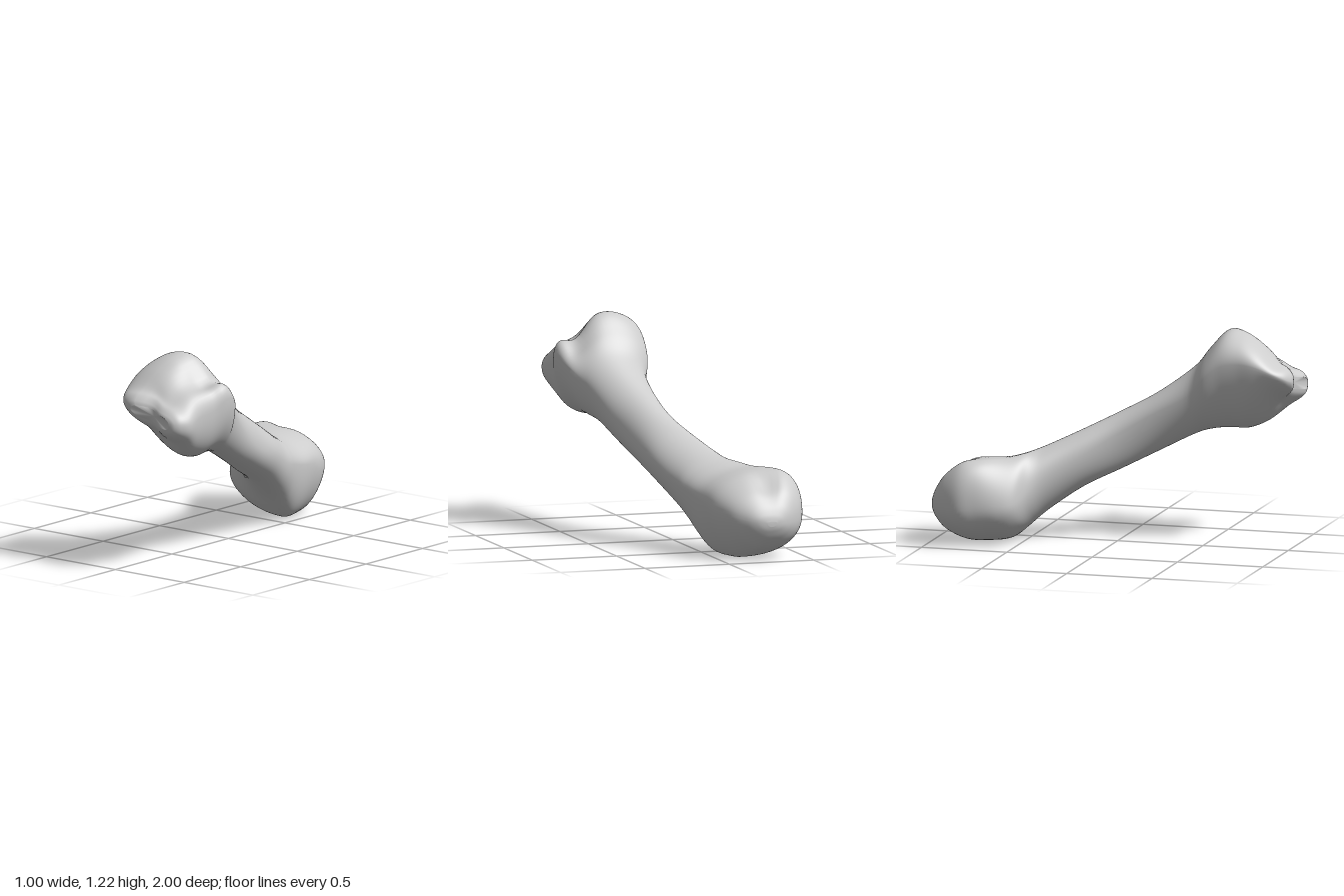
import * as THREE from 'three';

// Cross-sections along z: [z, xMin, xMax, yMin, yMax, yAtLeftmost, yAtRightmost, xAtTop, xAtBottom]
const headSections = [
  [-1.00, -0.28, -0.23, 0.20, 0.23, 0.22, 0.22, -0.26, -0.25],
  [-0.99, -0.33, -0.17, 0.17, 0.27, 0.22, 0.23, -0.26, -0.24],
  [-0.96, -0.39, -0.11, 0.12, 0.33, 0.23, 0.24, -0.28, -0.23],
  [-0.90, -0.455, -0.04, 0.06, 0.405, 0.24, 0.26, -0.32, -0.20],
  [-0.80, -0.497, 0.02, 0.01, 0.475, 0.25, 0.28, -0.35, -0.15],
  [-0.70, -0.485, 0.045, 0.00, 0.49, 0.25, 0.31, -0.34, -0.12],
  [-0.58, -0.45, 0.065, 0.01, 0.49, 0.23, 0.33, -0.26, -0.09],
  [-0.50, -0.40, 0.085, 0.07, 0.505, 0.24, 0.35, -0.20, -0.06],
  [-0.44, -0.30, 0.105, 0.125, 0.523, 0.30, 0.365, -0.14, -0.05],
];
const shaftSections = [
  [-0.36, -0.225, 0.13, 0.19, 0.555, 0.38, 0.39, -0.08, -0.03],
  [-0.20, -0.13, 0.19, 0.30, 0.63, 0.48, 0.47, 0.00, 0.03],
  [0.00, -0.03, 0.24, 0.40, 0.73, 0.61, 0.55, 0.09, 0.08],
  [0.20, 0.015, 0.30, 0.50, 0.84, 0.73, 0.67, 0.14, 0.16],
  [0.40, 0.02, 0.38, 0.60, 0.99, 0.84, 0.84, 0.20, 0.22],
];
const condyleSections = [
  [0.50, -0.02, 0.46, 0.63, 1.11, 0.95, 0.94, 0.20, 0.24],
  [0.60, -0.03, 0.497, 0.64, 1.21, 1.03, 0.99, 0.20, 0.25],
  [0.70, -0.03, 0.475, 0.64, 1.20, 1.05, 0.93, 0.18, 0.27],
  [0.80, -0.03, 0.46, 0.68, 1.14, 1.04, 0.91, 0.15, 0.31],
  [0.90, -0.01, 0.47, 0.76, 1.05, 1.00, 0.88, 0.13, 0.35],
  [0.96, 0.025, 0.45, 0.80, 1.02, 0.97, 0.88, 0.13, 0.36],
  [0.99, 0.07, 0.42, 0.83, 0.99, 0.95, 0.88, 0.13, 0.36],
  [1.00, 0.11, 0.385, 0.86, 0.965, 0.94, 0.89, 0.14, 0.36],
];

const SIDES = 72, STEPS = 6;
const bump = (v, centre, width) => Math.exp(-(((v - centre) / width) ** 2));
const rise = (v, from, to) => THREE.MathUtils.smoothstep(v, from, to);

// Cubic blend between neighbouring sections
function sectionAt(list, i, t) {
  const at = (k) => list[Math.min(Math.max(k, 0), list.length - 1)];
  const [a, b, c, d] = [at(i - 1), at(i), at(i + 1), at(i + 2)];
  return b.map((_, k) => {
    const m0 = (c[k] - a[k]) / 2, m1 = (d[k] - b[k]) / 2, e = c[k] - b[k];
    return b[k] + t * (m0 + t * (3 * e - 2 * m0 - m1 + t * (m0 + m1 - 2 * e)));
  });
}

// A ring made of four quarter ellipses that meet at the section's extremes
function ringPoint([z, x0, x1, y0, y1, yL, yR, xT, xB], angle) {
  const c = Math.cos(angle), s = Math.sin(angle);
  const right = c >= 0, upper = s >= 0;
  // the head is fuller but cut away at its lower right, its side lobe slopes off,
  // and the far end is hollowed at its lower left
  const head = 1 - rise(z, -0.75, -0.6);
  let power = 1 - 0.12 * head;
  if (right && !upper) power += 0.25 * head - 0.12 * rise(z, 0.55, 0.75);
  if (!right && upper) power += 0.18 * bump(z, -0.5, 0.1);
  if (!right && !upper) power += 0.1 * rise(z, 0.4, 0.6) + 0.22 * rise(z, 0.72, 0.9);
  const u = Math.abs(c) ** power, v = Math.abs(s) ** power;
  const cx = upper ? xT : xB, cy = right ? yR : yL;
  const x = cx + u * ((right ? x1 : x0) - cx);
  let y = cy + v * ((upper ? y1 : y0) - cy);
  if (upper) {
    // shallow groove on top of the rounded head
    y -= 0.03 * v * bump(x, -0.26, 0.06) * bump(z, -0.86, 0.09);
    // saddle between the top ridge and the side wing, fading towards the end
    const depth = 0.55 * rise(z, 0.38, 0.52) * (1 - 0.6 * rise(z, 0.62, 0.85));
    y -= depth * (y1 - cy) * v * bump(x, 0.39 - 0.25 * (z - 0.6), 0.09);
  }
  // notch between the two end lobes
  const notch = 0.045 * bump(x, 0.23, 0.07) * rise(z, 0.84, 1);
  return [x, y, z - notch];
}

function boneGeometry(list) {
  const rings = [];
  for (let i = 0; i < list.length - 1; i++) {
    for (let k = 0; k < STEPS; k++) rings.push(sectionAt(list, i, k / STEPS));
  }
  rings.push(list[list.length - 1]);

  const positions = [], index = [];
  for (const ring of rings) {
    for (let j = 0; j < SIDES; j++) positions.push(...ringPoint(ring, (j / SIDES) * Math.PI * 2));
  }
  for (let i = 0; i < rings.length - 1; i++) {
    for (let j = 0; j < SIDES; j++) {
      const a = i * SIDES + j, b = i * SIDES + ((j + 1) % SIDES);
      index.push(a, b, a + SIDES, b, b + SIDES, a + SIDES);
    }
  }
  // close both ends
  for (const end of [0, rings.length - 1]) {
    const [z, x0, x1, y0, y1] = rings[end];
    const centre = positions.length / 3;
    positions.push((x0 + x1) / 2, (y0 + y1) / 2, end ? z - 0.04 : z);
    for (let j = 0; j < SIDES; j++) {
      const a = end * SIDES + j, b = end * SIDES + ((j + 1) % SIDES);
      if (end) index.push(centre, a, b);
      else index.push(centre, b, a);
    }
  }
  const geometry = new THREE.BufferGeometry();
  geometry.setAttribute('position', new THREE.Float32BufferAttribute(positions, 3));
  geometry.setIndex(index);
  geometry.computeVertexNormals();
  return geometry;
}

export function createModel() {
  const group = new THREE.Group();
  group.name = 'legBone';
  const boneGrey = new THREE.MeshStandardMaterial({ color: 0xcccccc });
  boneGrey.name = 'boneGrey';
  const bone = new THREE.Mesh(
    boneGeometry([...headSections, ...shaftSections, ...condyleSections]), boneGrey);
  bone.name = 'bone';
  group.add(bone);
  return group;
}
